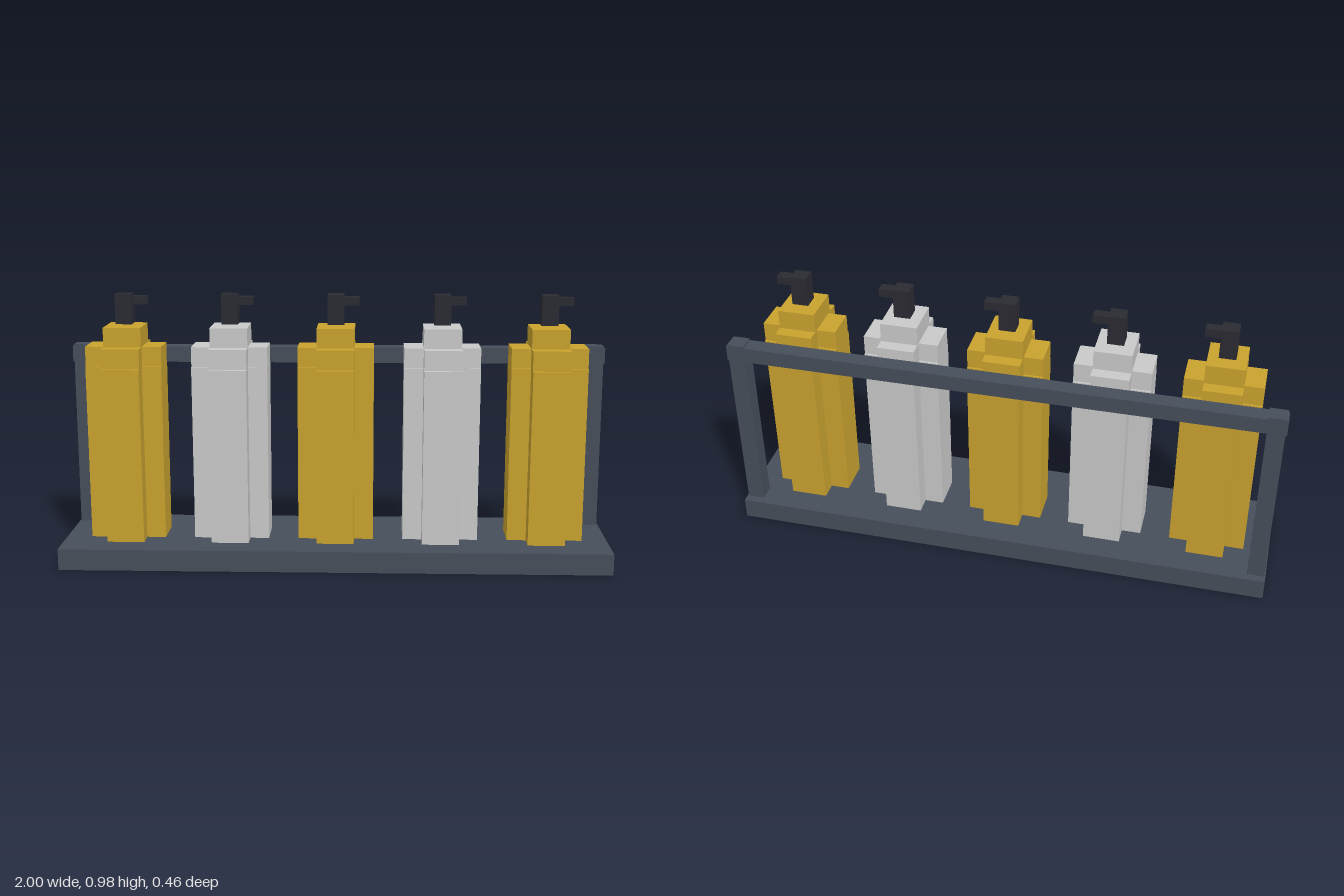
import * as THREE from 'three';

const mat = (name, color) => {
  const m = new THREE.MeshStandardMaterial({ color });
  m.name = name;
  return m;
};

export function createModel() {
  const slate = mat('slate', 0x464e5a);
  const gold = mat('gold', 0xc9a22e);
  const silver = mat('silver', 0xc9c9c9);
  const black = mat('black', 0x2a2a32);
  const model = new THREE.Group();
  model.name = 'bottleRack';

  // Box given by its lower and upper corners
  const box = (parent, name, material, [x0, y0, z0], [x1, y1, z1]) => {
    const mesh = new THREE.Mesh(new THREE.BoxGeometry(x1 - x0, y1 - y0, z1 - z0), material);
    mesh.position.set((x0 + x1) / 2, (y0 + y1) / 2, (z0 + z1) / 2);
    mesh.name = name;
    parent.add(mesh);
  };

  // Cross-shaped prism whose depth changes from bottom to top
  const crossPrism = (y0, y1, depth0, depth1) => {
    const a = 0.138, b = 0.068, c = 0.5; // arm reach, arm half width, relative depth of side arms
    const shape = new THREE.Shape([
      [b, -1], [b, -c], [a, -c], [a, c], [b, c], [b, 1],
      [-b, 1], [-b, c], [-a, c], [-a, -c], [-b, -c], [-b, -1],
    ].map(([x, y]) => new THREE.Vector2(x, y)));
    const g = new THREE.ExtrudeGeometry(shape, { depth: y1 - y0, bevelEnabled: false });
    g.rotateX(-Math.PI / 2).translate(0, y0, 0);
    const p = g.attributes.position;
    for (let i = 0; i < p.count; i++) {
      const t = (p.getY(i) - y0) / (y1 - y0);
      p.setZ(i, p.getZ(i) * THREE.MathUtils.lerp(depth0, depth1, t));
    }
    g.computeVertexNormals();
    return g;
  };

  // Rack: base tray, two posts and a back rail
  box(model, 'base', slate, [-1, 0, -0.23], [1, 0.078, 0.23]);
  for (const [name, x] of [['rightPost', -0.964], ['leftPost', 0.964]]) {
    box(model, name, slate, [x - 0.031, 0.078, -0.2], [x + 0.031, 0.77, -0.139]);
  }
  box(model, 'backRail', slate, [-1, 0.705, -0.2], [1, 0.763, -0.139]);

  // Row of pump bottles in alternating colours
  const bodyGeometry = crossPrism(0.078, 0.72, 0.132, 0.139);
  const shoulderGeometry = crossPrism(0.72, 0.792, 0.124, 0.124);
  for (let i = 0; i < 5; i++) {
    const bottle = new THREE.Group();
    bottle.name = 'bottle' + (i + 1);
    bottle.position.x = (i - 2) * 0.385;
    const colour = i % 2 ? silver : gold;
    const body = new THREE.Mesh(bodyGeometry, colour);
    body.name = 'body';
    const shoulder = new THREE.Mesh(shoulderGeometry, colour);
    shoulder.name = 'shoulder';
    bottle.add(body, shoulder);
    box(bottle, 'neck', colour, [-0.068, 0.792, -0.077], [0.068, 0.863, 0.077]);
    box(bottle, 'pump', black, [-0.03, 0.87, -0.03], [0.03, 0.979, 0.03]);
    box(bottle, 'nozzle', black, [0.03, 0.941, -0.02], [0.085, 0.97, 0.02]);
    model.add(bottle);
  }
  return model;
}
